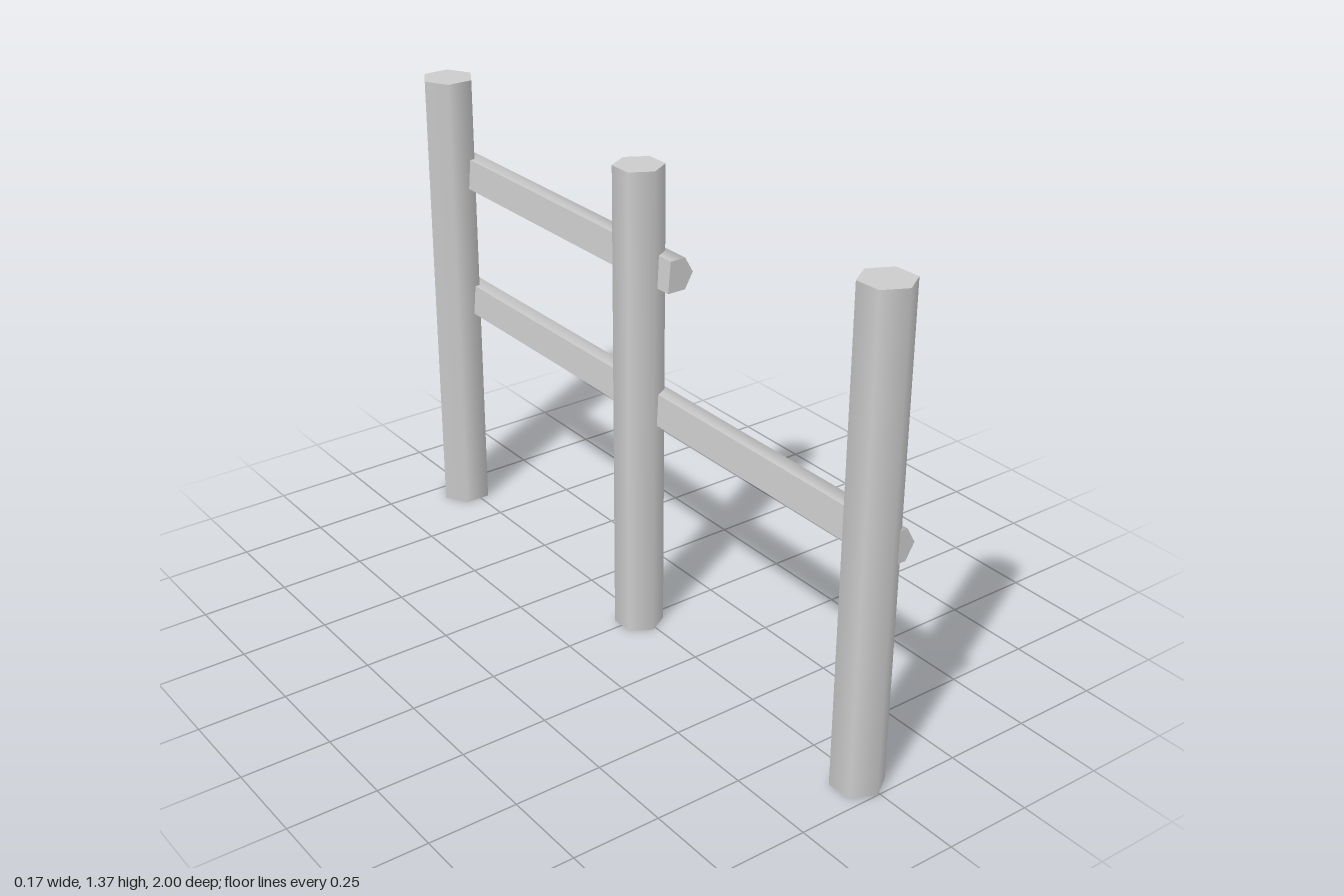
import * as THREE from 'three';
import { toCreasedNormals } from 'three/addons/utils/BufferGeometryUtils.js';

const material = new THREE.MeshStandardMaterial({ color: 0xcccccc });
const POST_HEIGHT = 1.365;

// Six-sided upright; turn = 0 puts a corner towards z
function makePost(name, x, z, radius, turn) {
  const geometry = new THREE.CylinderGeometry(radius, radius, POST_HEIGHT, 6);
  geometry.rotateY(turn);
  const post = new THREE.Mesh(geometry, material);
  post.name = name;
  post.position.set(x, POST_HEIGHT / 2, z);
  return post;
}

// Horizontal six-sided pole along z, its inner side cut to a slightly leaning flat
function makeRail(name, y, zBack, zFront) {
  const geometry = new THREE.CylinderGeometry(0.051, 0.051, zFront - zBack, 6);
  geometry.rotateY(Math.PI / 2).rotateX(Math.PI / 2);
  const p = geometry.attributes.position;
  for (let i = 0; i < p.count; i++) {
    if (p.getX(i) < -0.02) p.setX(i, -0.025 + 0.09 * p.getY(i));
  }
  const rail = new THREE.Mesh(toCreasedNormals(geometry, THREE.MathUtils.degToRad(70)), material);
  rail.name = name;
  rail.position.set(0.034, y, (zBack + zFront) / 2);
  return rail;
}

export function createModel() {
  const fence = new THREE.Group();
  fence.name = 'fence';
  fence.add(
    makePost('frontPost', -0.013, 0.929, 0.072, 0.05),
    makePost('middlePost', -0.011, 0.002, 0.069, 0),
    makePost('backPost', -0.011, -0.933, 0.077, Math.PI / 2),
    makeRail('lowerRail', 0.683, -0.972, 0.972),
    makeRail('upperRail', 1.083, -0.972, 0.108)
  );
  return fence;
}
